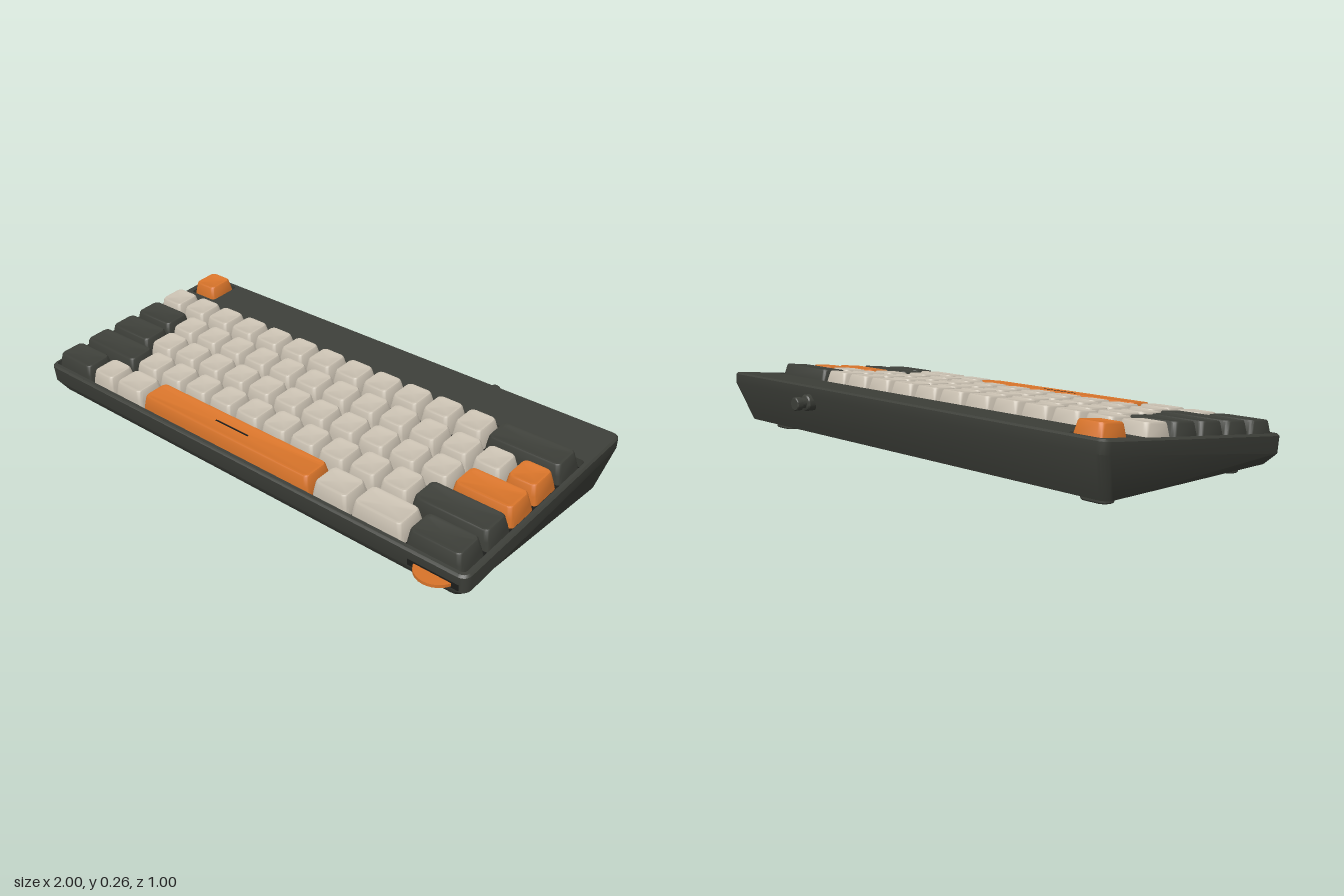
import * as THREE from 'three';
import { toCreasedNormals } from 'three/addons/utils/BufferGeometryUtils.js';

const SLOPE = 0.105, MID_Z = 0.0115, MID_Y = 0.1795;
const topY = z => MID_Y - SLOPE * (z - MID_Z);

const paint = color => new THREE.MeshStandardMaterial({ color });
const DARK = paint(0x3d3f39), BEIGE = paint(0xc9c0b1), ORANGE = paint(0xd8742a), BLACK = paint(0x1c1d1b);

function add(parent, name, geometry, material, x = 0, y = 0, z = 0) {
  const mesh = new THREE.Mesh(geometry, material);
  mesh.name = name;
  mesh.position.set(x, y, z);
  parent.add(mesh);
  return mesh;
}

// Rounded rectangle of points, counter-clockwise from above; y is a number or a function of z
function ring(x0, x1, zBack, zFront, r, y, steps = 4) {
  const points = [];
  const corners = [[x1 - r, zBack + r], [x0 + r, zBack + r], [x0 + r, zFront - r], [x1 - r, zFront - r]];
  corners.forEach(([cx, cz], q) => {
    for (let i = 0; i <= steps; i++) {
      const a = (q + i / steps) * Math.PI / 2;
      const z = cz - r * Math.sin(a);
      points.push(new THREE.Vector3(cx + r * Math.cos(a), typeof y === 'function' ? y(z) : y, z));
    }
  });
  return points;
}

// Skin a stack of rings from bottom to top, with optional end caps
function loft(rings, capBottom, capTop, crease = 0.5) {
  const pos = [], n = rings[0].length;
  const tri = (...pts) => pts.forEach(p => pos.push(p.x, p.y, p.z));
  const centre = pts => pts.reduce((s, p) => s.add(p), new THREE.Vector3()).divideScalar(n);
  const low = centre(rings[0]), high = centre(rings[rings.length - 1]);
  for (let j = 0; j < n; j++) {
    const k = (j + 1) % n;
    for (let i = 0; i + 1 < rings.length; i++) {
      const a = rings[i], b = rings[i + 1];
      tri(a[j], a[k], b[k]);
      tri(a[j], b[k], b[j]);
    }
    if (capBottom) tri(low, rings[0][k], rings[0][j]);
    if (capTop) tri(high, rings[rings.length - 1][j], rings[rings.length - 1][k]);
  }
  const geometry = new THREE.BufferGeometry();
  geometry.setAttribute('position', new THREE.Float32BufferAttribute(pos, 3));
  return toCreasedNormals(geometry, crease);
}

// Tapered keycap with a softened rim and a shallow dished top
function keycap(width, depth) {
  const layer = (inset, y, r, shift = 0) => ring(-width / 2 + inset, width / 2 - inset,
    -depth / 2 + inset + shift, depth / 2 - inset + shift, r, y);
  return loft([
    layer(0, -0.03, 0.014),
    layer(0.004, 0.002, 0.016),
    layer(0.010, 0.037, 0.018, -0.001),
    layer(0.013, 0.042, 0.018, -0.001),
    layer(0.018, 0.0425, 0.016, -0.001),
    layer(0.024, 0.040, 0.013, -0.001),
  ], true, true, 0.6);
}

const toPlane = pts => pts.map(p => new THREE.Vector2(p.x, -p.z));

export function createModel() {
  const model = new THREE.Group();
  model.name = 'keyboard';

  // Case shell: level base, sloping crease, tilted bevelled top edge
  add(model, 'caseShell', loft([
    ring(-0.963, 0.963, -0.38, 0.426, 0.03, 0.033),
    ring(-0.998, 0.998, -0.436, 0.447, 0.03, z => 0.067 + (0.447 - z) * 0.13),
    ring(-1, 1, -0.434, 0.453, 0.03, z => topY(z) - 0.007),
    ring(-0.993, 0.993, -0.427, 0.446, 0.024, topY),
  ], true, false), DARK);

  // Everything on the sloping top shares one tilted frame
  const tilted = new THREE.Group();
  tilted.name = 'tiltedTop';
  tilted.position.set(0, MID_Y, MID_Z);
  tilted.rotation.x = Math.atan(SLOPE);
  model.add(tilted);

  // Top frame with openings for the key field and the corner key
  const frame = new THREE.Shape(toPlane(ring(-0.993, 0.993, -0.440, 0.437, 0.024, 0)));
  frame.holes.push(
    new THREE.Path(toPlane(ring(-0.986, 0.981, -0.247, 0.425, 0.015, 0))),
    new THREE.Path(toPlane(ring(-0.969, -0.834, -0.426, -0.290, 0.015, 0))));
  const frameGeometry = new THREE.ExtrudeGeometry(frame, { depth: 0.035, bevelEnabled: false });
  frameGeometry.rotateX(-Math.PI / 2).translate(0, -0.035, 0);
  add(tilted, 'topFrame', frameGeometry, DARK);
  const floor = new THREE.PlaneGeometry(1.98, 0.86).rotateX(-Math.PI / 2);
  add(tilted, 'keyTrayFloor', floor, BLACK, 0, -0.034, 0);

  // Key rows: z position, cell widths from the left edge, colours of the special cells
  const run = (count, width) => Array(count).fill(width);
  const rows = [
    { z: -0.178, widths: [...run(12, 0.137), 0.31], special: { 12: DARK } },
    { z: -0.044, widths: [0.217, ...run(12, 0.133), 0.137], special: { 0: DARK, 13: ORANGE } },
    { z: 0.090, widths: [0.238, ...run(11, 0.133), 0.25], special: { 0: DARK, 12: ORANGE } },
    { z: 0.223, widths: [0.307, ...run(10, 0.1335), 0.314], special: { 0: DARK, 11: DARK } },
    { z: 0.357, widths: [0.209, 0.134, 0.16, 0.837, 0.166, 0.222, 0.225],
      special: { 0: DARK, 3: ORANGE, 6: DARK } },
  ];
  const keys = new THREE.Group();
  keys.name = 'keys';
  tilted.add(keys);
  rows.forEach(({ z, widths, special }, row) => {
    let x = -0.984;
    widths.forEach((w, i) => {
      const name = w > 0.5 ? 'spaceBar' : `keyRow${row + 1}Number${i + 1}`;
      add(keys, name, keycap(w - 0.01, 0.124), special[i] || BEIGE, x + w / 2, 0, z);
      x += w;
    });
  });
  add(keys, 'cornerKey', keycap(0.124, 0.124), ORANGE, -0.9015, 0, -0.358);
  add(keys, 'spaceBarMark', new THREE.BoxGeometry(0.16, 0.002, 0.006), BLACK, -0.06, 0.040, 0.356);

  // Thumb wheel in a slot on the front edge
  add(model, 'wheelSlot', new THREE.BoxGeometry(0.19, 0.022, 0.01), BLACK, 0.877, 0.085, 0.4455);
  add(model, 'thumbWheel', toCreasedNormals(new THREE.CylinderGeometry(0.0755, 0.0755, 0.011, 28), 0.5),
    ORANGE, 0.877, 0.085, 0.4245);

  // Four oblong feet
  for (const x of [-0.84, 0.84]) for (const z of [0.343, -0.281]) {
    add(model, 'foot', loft([
      ring(-0.055, 0.055, -0.029, 0.029, 0.029, 0, 8),
      ring(-0.058, 0.058, -0.032, 0.032, 0.032, 0.004, 8),
      ring(-0.058, 0.058, -0.032, 0.032, 0.032, 0.036, 8),
    ], true, false), DARK, x, 0, z);
  }

  // Stepped cable plug at the back
  const plugProfile = [[0, 0], [0.031, 0], [0.031, 0.04], [0.027, 0.045], [0.019, 0.048], [0.019, 0.064],
    [0.025, 0.066], [0.025, 0.087], [0.022, 0.09], [0, 0.09]].map(p => new THREE.Vector2(...p));
  const plug = add(model, 'cablePlug',
    toCreasedNormals(new THREE.LatheGeometry(plugProfile, 24), 0.5), DARK, 0.455, 0.163, -0.41);
  plug.rotation.x = -Math.PI / 2;

  return model;
}
